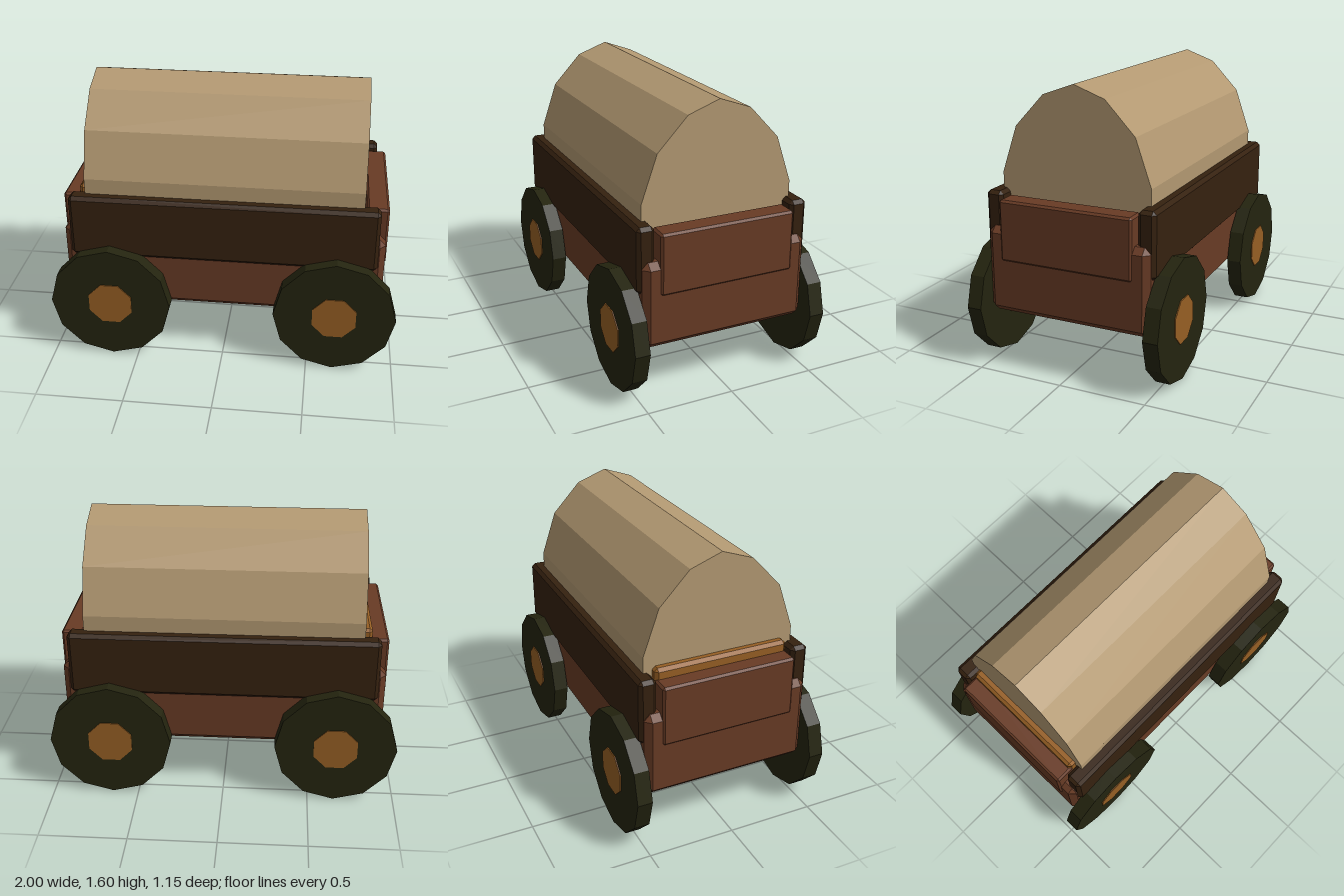
import * as THREE from 'three';
import { ConvexGeometry } from 'three/addons/geometries/ConvexGeometry.js';

const mat = (name, color, flat = true) =>
  new THREE.MeshStandardMaterial({ name, color, flatShading: flat });

// Box with every edge chamfered by c, given as [min, max] per axis
function chamferBox(xr, yr, zr, c) {
  const ranges = [xr, yr, zr];
  const mid = ranges.map(([a, b]) => (a + b) / 2);
  const half = ranges.map(([a, b]) => (b - a) / 2);
  const pts = [];
  for (const sx of [-1, 1]) for (const sy of [-1, 1]) for (const sz of [-1, 1])
    for (let k = 0; k < 3; k++) {
      const p = [sx, sy, sz].map((s, i) => mid[i] + s * (half[i] - (i === k ? 0 : c)));
      pts.push(new THREE.Vector3(...p));
    }
  return new ConvexGeometry(pts);
}

export function createModel() {
  const wagon = new THREE.Group();
  wagon.name = 'coveredWagon';

  const canvas = mat('canvas', 0xb39972);
  const redWood = mat('redWood', 0x683b25);
  const darkWood = mat('darkWood', 0x35210f);
  const orangeWood = mat('orangeWood', 0x965f24);
  const tyre = mat('tyre', 0x24240f);

  const add = (name, geometry, material, parent = wagon) => {
    const mesh = new THREE.Mesh(geometry, material);
    mesh.name = name;
    parent.add(mesh);
    return mesh;
  };

  // Wagon bed
  add('bed', chamferBox([-0.915, 0.915], [0.32, 0.81], [-0.48, 0.48], 0.035), redWood);

  // End boards and side boards
  for (const s of [-1, 1]) {
    const x = s < 0 ? [-0.925, -0.8] : [0.8, 0.925];
    add(s < 0 ? 'rightEndBoard' : 'leftEndBoard',
      chamferBox(x, [0.625, 0.97], [-0.39, 0.39], 0.012), redWood);
    const z = s < 0 ? [-0.5, -0.4] : [0.4, 0.5];
    add(s < 0 ? 'backSideBoard' : 'frontSideBoard',
      chamferBox([-0.875, 0.875], [0.63, 1.0], z, 0.02), darkWood);
  }

  // Seat board at one end of the cover
  add('seat', chamferBox([-0.83, -0.55], [0.9, 1.03], [-0.39, 0.39], 0.018), orangeWood);

  // Arched canvas cover
  const arch = [[0.44, 0.82], [0.44, 1.09], [0.35, 1.35], [0.18, 1.53]];
  const profile = [...arch, [0, 1.595], ...arch.map(([z, y]) => [-z, y]).reverse()];
  const cover = new THREE.ExtrudeGeometry(
    new THREE.Shape(profile.map(([z, y]) => new THREE.Vector2(z, y))),
    { depth: 1.57, bevelEnabled: false });
  cover.translate(0, 0, -0.785).rotateY(Math.PI / 2);
  add('cover', cover, canvas);

  // Axles, wheels and hubs
  for (const x of [-0.65, 0.65]) {
    add('axle', chamferBox([x - 0.05, x + 0.05], [0.3, 0.4], [-0.485, 0.485], 0.02), darkWood);
    for (const s of [-1, 1]) {
      const wheel = new THREE.Group();
      wheel.name = (s > 0 ? 'front' : 'back') + (x > 0 ? 'Left' : 'Right') + 'Wheel';
      wheel.position.set(x, 0.35, s * 0.5275);
      add('tyre', new THREE.CylinderGeometry(0.35, 0.35, 0.085, 12).rotateX(Math.PI / 2),
        tyre, wheel);
      add('hub', new THREE.CylinderGeometry(0.135, 0.135, 0.096, 8)
        .rotateY(Math.PI / 8).rotateX(Math.PI / 2), orangeWood, wheel);
      wagon.add(wheel);
    }
  }

  return wagon;
}
